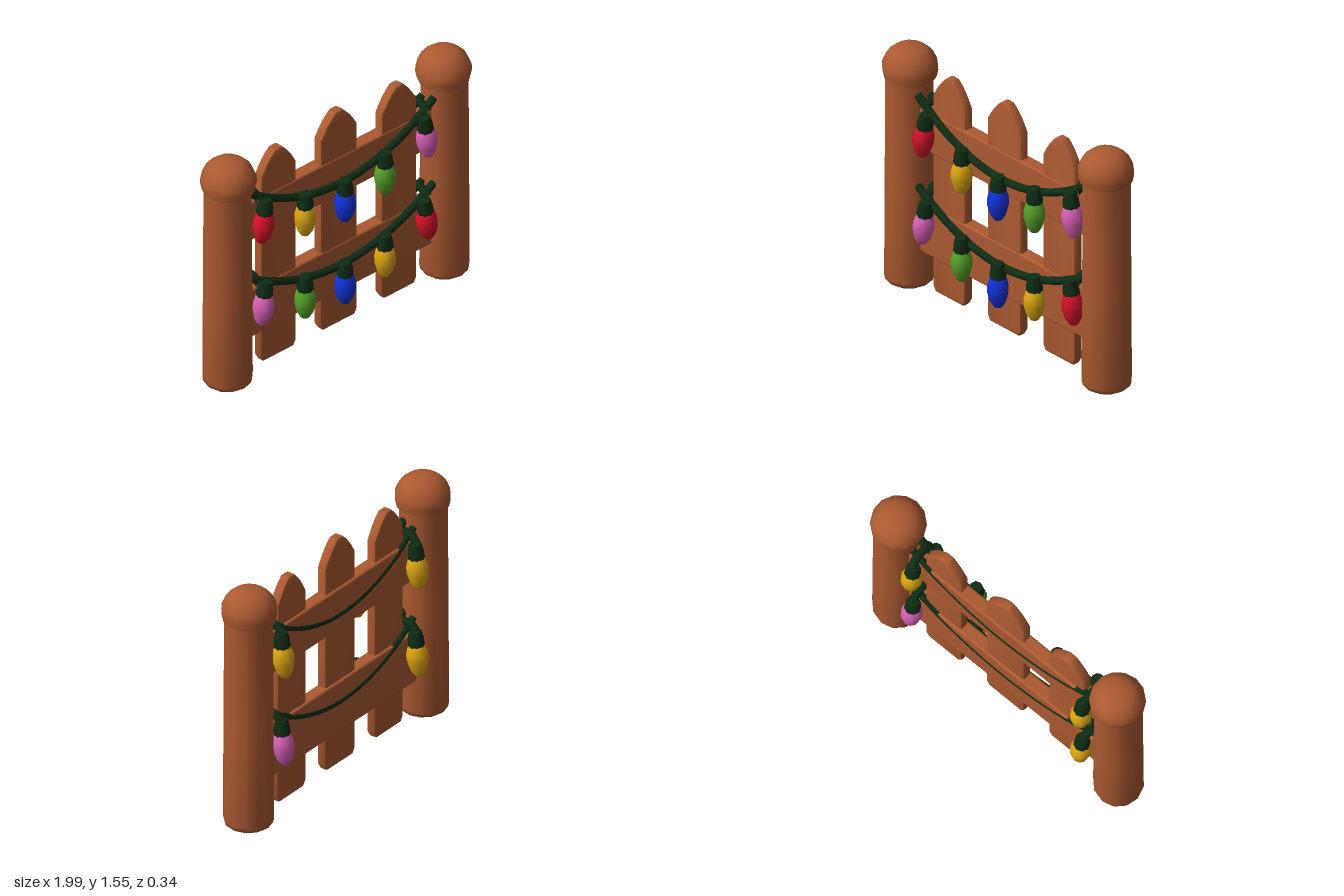
import * as THREE from 'three';
import { RoundedBoxGeometry } from 'three/addons/geometries/RoundedBoxGeometry.js';
import { toCreasedNormals } from 'three/addons/utils/BufferGeometryUtils.js';

const material = (name, color) => {
  const m = new THREE.MeshStandardMaterial({ color });
  m.name = name;
  return m;
};

const lathe = (points, sides) =>
  new THREE.LatheGeometry(points.map(([r, y]) => new THREE.Vector2(r, y)), sides);

export function createModel() {
  const wood = material('wood', 0xab5a31);
  const cable = material('cable green', 0x0f2c15);
  const bulbColors = {
    red: material('red', 0xd3112a),
    yellow: material('yellow', 0xdca612),
    blue: material('blue', 0x1232da),
    green: material('green', 0x55a029),
    pink: material('pink', 0xd85fb4),
  };

  const model = new THREE.Group();
  model.name = 'fence';
  const add = (name, geometry, mat, parent = model) => {
    const mesh = new THREE.Mesh(geometry, mat);
    mesh.name = name;
    parent.add(mesh);
    return mesh;
  };

  // Round posts with domed caps
  const postGeometry = toCreasedNormals(lathe(
    [[0, 0.005], [0.125, 0.008], [0.143, 0.022], [0.149, 0.05], [0.146, 0.7], [0.142, 1.4]], 12), 0.9);
  const capGeometry = toCreasedNormals(lathe(
    [[0.13, 1.36], [0.155, 1.365], [0.165, 1.41], [0.163, 1.45], [0.138, 1.505],
      [0.095, 1.543], [0.05, 1.557], [0, 1.56]], 14), 0.9);
  for (const side of [-1, 1]) {
    add('post', postGeometry, wood).position.x = side * 0.842;
    add('postCap', capGeometry, wood).position.x = side * 0.835;
  }

  // Horizontal rails
  for (const [bottom, top] of [[0.255, 0.59], [0.94, 1.21]]) {
    const rail = add('rail', new RoundedBoxGeometry(1.5, top - bottom, 0.086, 2, 0.014), wood);
    rail.position.set(0, (top + bottom) / 2, -0.006);
  }

  // Pointed pickets
  const bevel = 0.014;
  const pickets = [[-0.472, 0.137, 1.49], [-0.003, 0.143, 1.53], [0.465, 0.136, 1.49]];
  for (const [x, halfWidth, tip] of pickets) {
    const w = halfWidth - bevel;
    const shape = new THREE.Shape();
    shape.moveTo(-w + 0.015, 0.035 + bevel);
    shape.lineTo(w - 0.015, 0.035 + bevel);
    shape.lineTo(w, 0.075);
    shape.lineTo(w, tip - 0.155);
    shape.quadraticCurveTo(w * 0.62, tip - 0.06, 0.02, tip - bevel);
    shape.lineTo(-0.02, tip - bevel);
    shape.quadraticCurveTo(-w * 0.62, tip - 0.06, -w, tip - 0.155);
    shape.lineTo(-w, 0.075);
    const geometry = new THREE.ExtrudeGeometry(shape, {
      depth: 0.036, bevelEnabled: true, bevelThickness: bevel, bevelSize: bevel,
      bevelSegments: 2, curveSegments: 4,
    });
    geometry.translate(x, 0, -0.018);
    add('picket', toCreasedNormals(geometry, 0.7), wood);
  }

  // Bulb and socket, hanging from the origin
  const bulbGeometry = lathe(
    [[0, -0.29], [0.026, -0.28], [0.048, -0.245], [0.064, -0.185], [0.065, -0.14],
      [0.052, -0.095], [0.035, -0.07], [0, -0.065]], 10);
  const socketGeometry = toCreasedNormals(lathe(
    [[0, -0.1], [0.045, -0.1], [0.05, -0.085], [0.047, -0.04], [0.038, 0.005], [0, 0.015]], 8), 0.8);
  const addLight = (color, x, y, z, tilt, lean) => {
    const light = new THREE.Group();
    light.name = 'light';
    add('bulb', bulbGeometry, bulbColors[color], light);
    add('socket', socketGeometry, cable, light);
    light.position.set(x, y, z);
    light.rotation.set(lean, 0, tilt);
    model.add(light);
  };

  // Two strings of lights, sagging across the front and the back
  const strings = [
    { low: 1.035, rise: 0.245, front: ['red', 'yellow', 'blue', 'green', 'pink'], back: ['yellow', 'yellow'] },
    { low: 0.455, rise: 0.225, front: ['pink', 'green', 'blue', 'yellow', 'red'], back: ['yellow', 'pink'] },
  ];
  for (const { low, rise, front, back } of strings) {
    const sag = (x) => low + rise * (x / 0.7) ** 2;
    const addCable = (name, z, radius, reach) => {
      const points = [];
      for (let i = -6; i <= 6; i++) {
        const x = (i / 6) * reach;
        points.push(new THREE.Vector3(x, sag(x), z));
      }
      add(name, new THREE.TubeGeometry(new THREE.CatmullRomCurve3(points), 32, radius, 8), cable);
    };
    addCable('frontCable', 0.046, 0.025, 0.72);
    addCable('backCable', -0.033, 0.022, 0.7);

    // Loops over the rail ends joining front and back
    for (const side of [-1, 1]) {
      const x = side * 0.655;
      const loop = new THREE.CatmullRomCurve3([
        new THREE.Vector3(x, sag(x) - 0.02, 0.07),
        new THREE.Vector3(x, sag(x) + 0.01, 0.02),
        new THREE.Vector3(x, sag(x) + 0.01, -0.05),
        new THREE.Vector3(x * 0.985, sag(x) - 0.03, -0.1),
      ]);
      add('cableLoop', new THREE.TubeGeometry(loop, 10, 0.026, 8), cable);
    }

    front.forEach((color, i) => {
      const k = i - 2;
      const end = Math.abs(k) === 2;
      const x = end ? Math.sign(k) * 0.615 : k * 0.31;
      const y = end ? low + 0.18 : sag(x) + 0.03;
      addLight(color, x, y, 0.078, end ? Math.sign(k) * 0.12 : 0, 0);
    });
    back.forEach((color, i) => {
      const side = i * 2 - 1;
      addLight(color, side * 0.645, low + 0.175, -0.088, 0, 0.1);
    });
  }

  return model;
}
